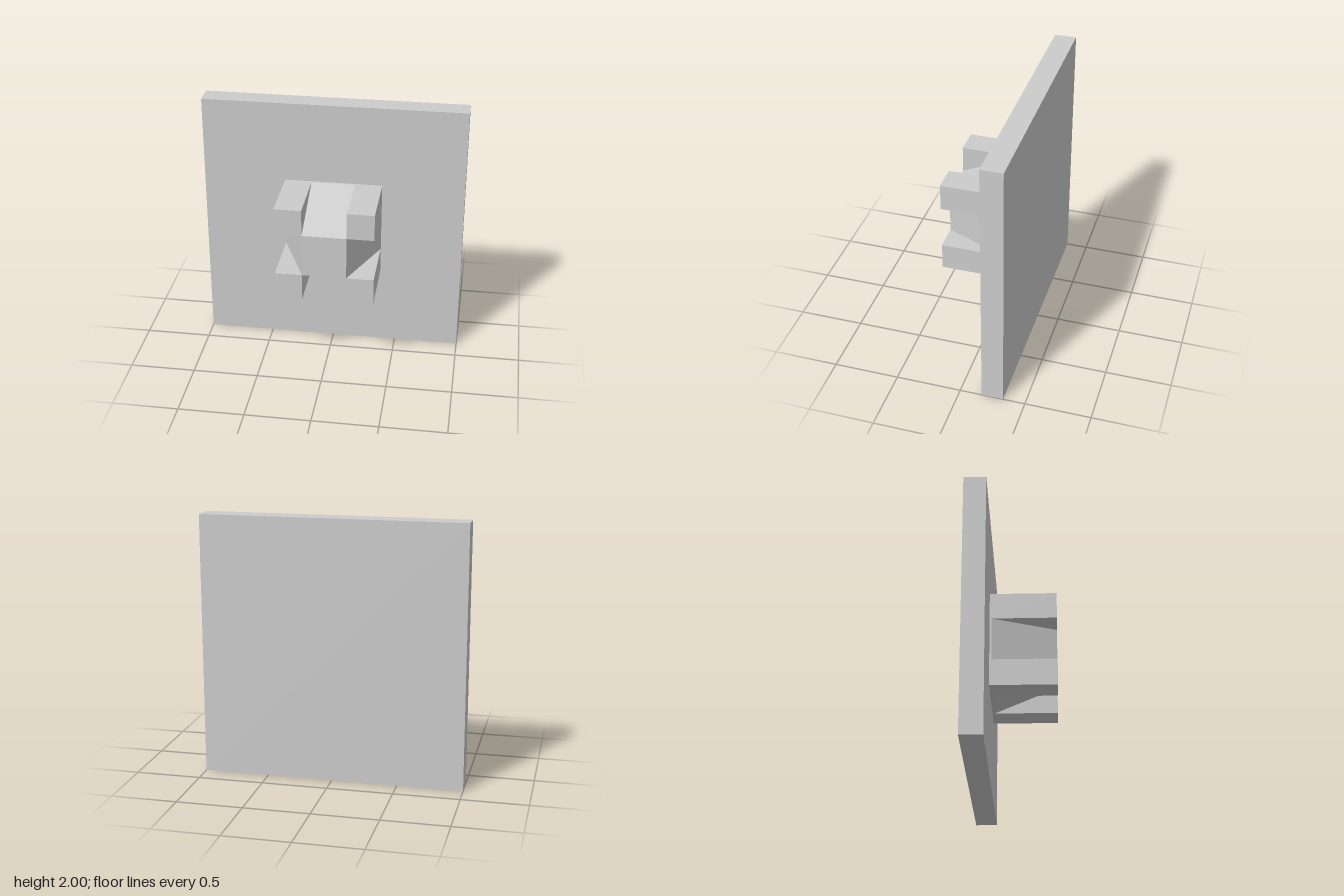
import * as THREE from 'three';

export function createModel() {
  const model = new THREE.Group();
  const grey = new THREE.MeshStandardMaterial({ color: 0xcccccc });
  grey.name = 'light grey';

  const BACK = -0.333, PLATE = -0.167, BASE = -0.152, FRONT = 0.333;
  const OUTER = 0.373, INNER = 0.167; // half widths of the boss base and tip
  const CENTRE_Y = 1;

  // Box spanning z0 to z1, centred on x, y
  function addBox(name, w, h, z0, z1, x = 0, y = CENTRE_Y) {
    const mesh = new THREE.Mesh(new THREE.BoxGeometry(w, h, z1 - z0), grey);
    mesh.name = name;
    mesh.position.set(x, y, (z0 + z1) / 2);
    model.add(mesh);
    return mesh;
  }

  // Square wall plate and the thin base of the boss
  addBox('backPlate', 2, 2, BACK, PLATE);
  addBox('bossBase', OUTER * 2, OUTER * 2, PLATE, BASE);

  // Central block tapering towards the front
  const taper = addBox('taperedCore', OUTER * 2, OUTER * 2, BASE, FRONT).geometry;
  const p = taper.attributes.position;
  for (let i = 0; i < p.count; i++) {
    if (p.getZ(i) > 0) p.setXY(i, Math.sign(p.getX(i)) * INNER, Math.sign(p.getY(i)) * INNER);
  }
  taper.computeVertexNormals();

  // Four square corner posts
  const size = OUTER - INNER, offset = (OUTER + INNER) / 2;
  for (const sx of [-1, 1]) {
    for (const sy of [-1, 1]) {
      const name = (sy > 0 ? 'upper' : 'lower') + (sx > 0 ? 'Left' : 'Right') + 'Post';
      addBox(name, size, size, BASE, FRONT, sx * offset, CENTRE_Y + sy * offset);
    }
  }
  return model;
}
